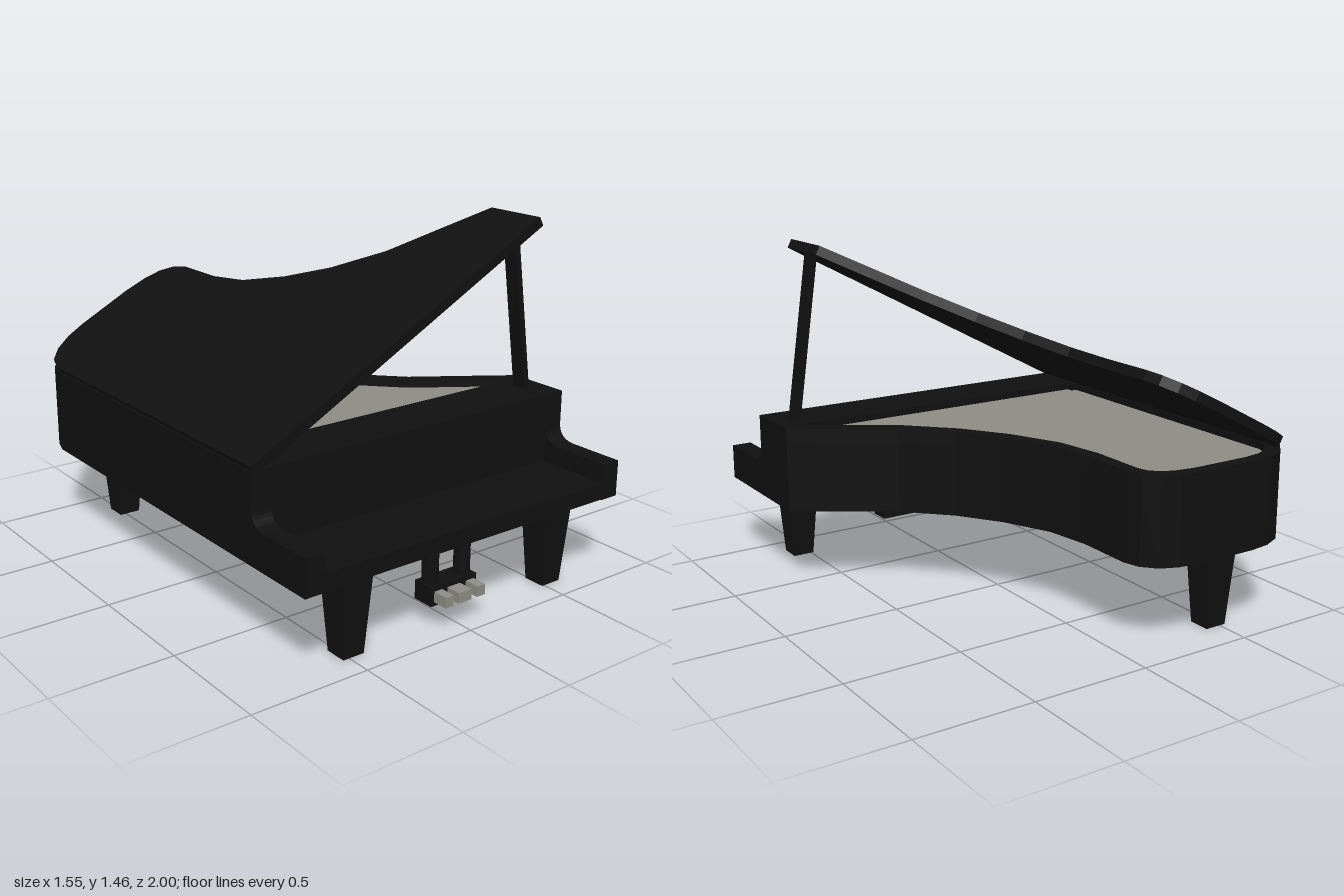
import * as THREE from 'three';

const black = new THREE.MeshStandardMaterial({ color: 0x101010 });
const grey = new THREE.MeshStandardMaterial({ color: 0x8c8c84 });

// Plan of the case as [x, z], from the front of the curved side round to the straight side
const curve = [
  [0.775, 0.41], [0.58, 0.28], [0.39, 0.155], [0.22, -0.02], [0.1, -0.2], [0.01, -0.4],
  [-0.02, -0.59], [-0.02, -0.83], [-0.04, -0.9], [-0.09, -0.955], [-0.16, -0.985], [-0.26, -1],
  [-0.52, -1], [-0.61, -0.988], [-0.69, -0.952], [-0.75, -0.89], [-0.775, -0.81], [-0.775, 0.41],
];

// The same path moved inward by d
function inset(path, d) {
  return path.map((p, i) => {
    const a = path[Math.max(i - 1, 0)], b = path[Math.min(i + 1, path.length - 1)];
    const dx = b[0] - a[0], dz = b[1] - a[1], l = Math.hypot(dx, dz);
    return [p[0] + (dz / l) * d, p[1] - (dx / l) * d];
  });
}

function add(parent, name, geometry, material = black) {
  const mesh = new THREE.Mesh(geometry, material);
  mesh.name = name;
  parent.add(mesh);
  return mesh;
}

// Flat plate with a plan outline, between two heights
function plate(points, bottom, top) {
  const shape = new THREE.Shape(points.map(([x, z]) => new THREE.Vector2(x, z)));
  const g = new THREE.ExtrudeGeometry(shape, { depth: top - bottom, bevelEnabled: false });
  return g.rotateX(Math.PI / 2).translate(0, top, 0);
}

// Box given by its limits
function block(x0, x1, y0, y1, z0, z1) {
  return new THREE.BoxGeometry(x1 - x0, y1 - y0, z1 - z0)
    .translate((x0 + x1) / 2, (y0 + y1) / 2, (z0 + z1) / 2);
}

export function createModel() {
  const piano = new THREE.Group();
  piano.name = 'grandPiano';

  // Case: solid floor, raised rim and soundboard inside it
  const inner = inset(curve, 0.06);
  add(piano, 'caseBody', plate(curve, 0.36, 0.66));
  add(piano, 'rim', plate([...curve, ...inner.slice().reverse()], 0.66, 0.72));
  add(piano, 'soundboard', plate([...inner, [-0.715, 0.46]], 0.655, 0.69), grey);

  // Front: wall behind the keys, keybed and the two curved cheeks
  add(piano, 'frontWall', block(-0.7, 0.7, 0.36, 0.72, 0.44, 0.68));
  add(piano, 'keybed', block(-0.7, 0.7, 0.36, 0.43, 0.4, 0.995));
  const cheek = new THREE.Shape();
  cheek.moveTo(-0.41, 0.36);
  cheek.lineTo(-0.41, 0.72);
  cheek.lineTo(-0.68, 0.72);
  cheek.lineTo(-0.68, 0.58);
  cheek.quadraticCurveTo(-0.68, 0.515, -0.755, 0.51);
  cheek.lineTo(-1, 0.51);
  cheek.lineTo(-1, 0.36);
  for (const [name, x] of [['leftCheek', 0.69], ['rightCheek', -0.775]]) {
    const g = new THREE.ExtrudeGeometry(cheek, { depth: 0.085, bevelEnabled: false, curveSegments: 8 });
    add(piano, name, g.rotateY(Math.PI / 2).translate(x, 0, 0));
  }

  // Open lid, hinged along the straight side
  const lid = new THREE.Group();
  lid.name = 'lid';
  lid.position.set(-0.775, 0.737, 0);
  lid.rotation.z = 0.487;
  const lidPlan = [[0.775, 0.68], ...curve.slice(0, -1), [-0.775, 0.68]];
  add(lid, 'lidPanel', plate(lidPlan.map(([x, z]) => [x + 0.775, z]), -0.04, 0));
  piano.add(lid);

  // Lid prop
  const foot = new THREE.Vector3(0.675, 0.71, 0.545), head = new THREE.Vector3(0.572, 1.41, 0.545);
  const prop = add(piano, 'lidProp', new THREE.BoxGeometry(0.026, foot.distanceTo(head), 0.065));
  prop.position.copy(foot).add(head).multiplyScalar(0.5);
  prop.rotation.z = Math.atan2(foot.x - head.x, head.y - foot.y);

  // Tapered square legs
  for (const [name, x, z] of [['rightFrontLeg', -0.48, 0.848], ['leftFrontLeg', 0.537, 0.848], ['backLeg', -0.48, -0.81]]) {
    const g = new THREE.CylinderGeometry(0.072 * Math.SQRT2, 0.047 * Math.SQRT2, 0.365, 4).toNonIndexed();
    g.rotateY(Math.PI / 4).computeVertexNormals();
    add(piano, name, g).position.set(x, 0.1825, z);
  }

  // Pedal frame and pedals
  const pedals = new THREE.Group();
  pedals.name = 'pedalFrame';
  for (const x of [-0.079, 0.082]) {
    add(pedals, 'pedalPost', new THREE.CylinderGeometry(0.033, 0.033, 0.22, 20)).position.set(x, 0.26, 0.85);
  }
  add(pedals, 'pedalBox', block(-0.114, 0.114, 0.09, 0.168, 0.805, 0.9));
  for (const [x, w] of [[-0.08, 0.04], [-0.002, 0.064], [0.08, 0.04]]) {
    add(pedals, 'pedal', block(x - w / 2, x + w / 2, 0.107, 0.15, 0.88, 0.965), grey);
  }
  piano.add(pedals);

  return piano;
}
